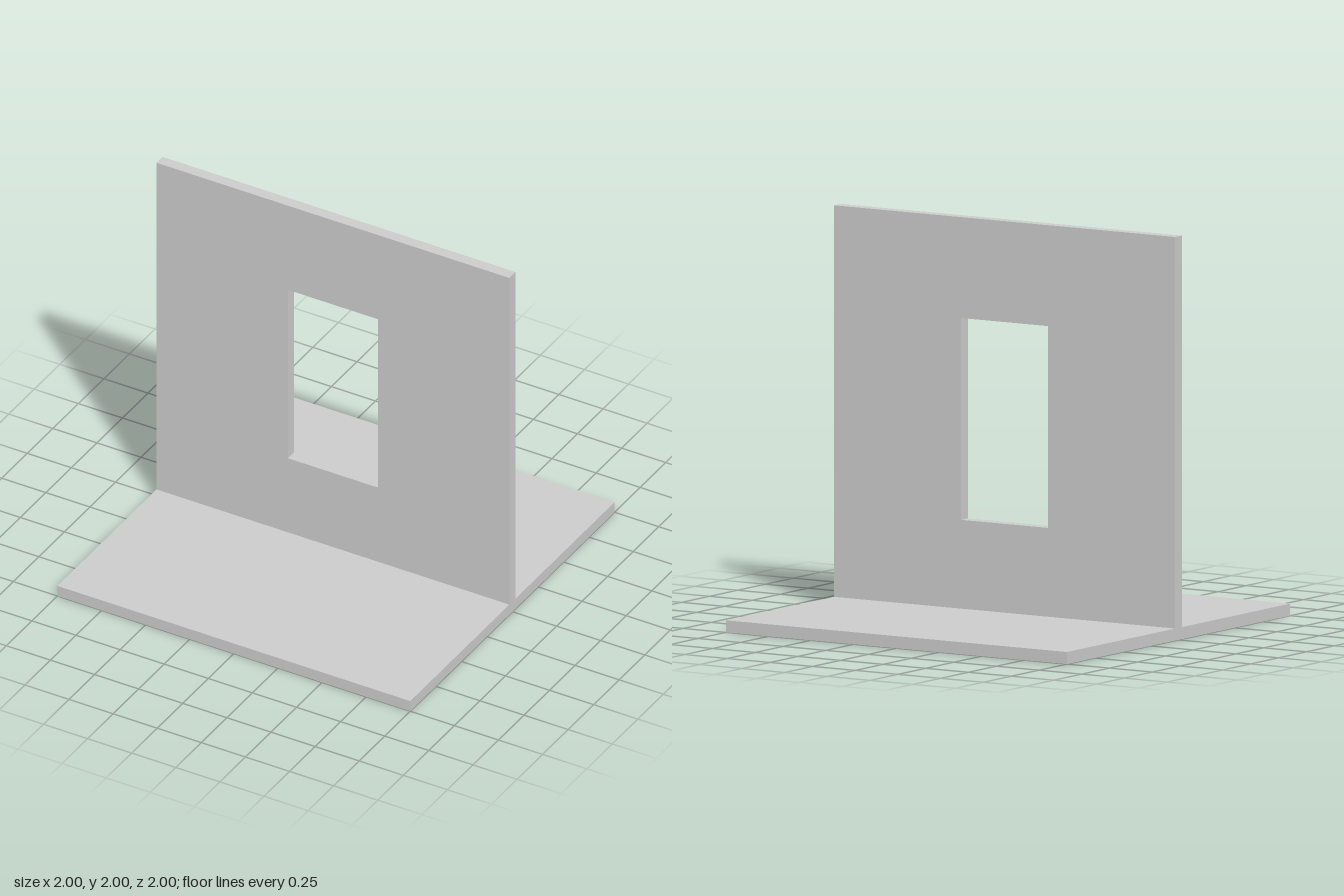
import * as THREE from 'three';

const BASE_HEIGHT = 0.06;
const WALL_DEPTH = 0.06;

// Closed rectangular outline from its lower-left and upper-right corners
function rectangle(PathType, x0, y0, x1, y1) {
  return new PathType([[x0, y0], [x1, y0], [x1, y1], [x0, y1]].map(([x, y]) => new THREE.Vector2(x, y)));
}

export function createModel() {
  const model = new THREE.Group();
  const material = new THREE.MeshStandardMaterial({ color: 0xcccccc });

  // Square floor plate
  const base = new THREE.Mesh(new THREE.BoxGeometry(2, BASE_HEIGHT, 2), material);
  base.name = 'basePlate';
  base.position.y = BASE_HEIGHT / 2;
  model.add(base);

  // Upright wall with a window opening, standing across the middle of the plate
  const outline = rectangle(THREE.Shape, -1, BASE_HEIGHT, 1, 2);
  outline.holes.push(rectangle(THREE.Path, -0.255, 0.5, 0.255, 1.5));
  const wallGeometry = new THREE.ExtrudeGeometry(outline, { depth: WALL_DEPTH, bevelEnabled: false });
  wallGeometry.translate(0, 0, -WALL_DEPTH / 2);
  const wall = new THREE.Mesh(wallGeometry, material);
  wall.name = 'windowWall';
  model.add(wall);

  return model;
}
